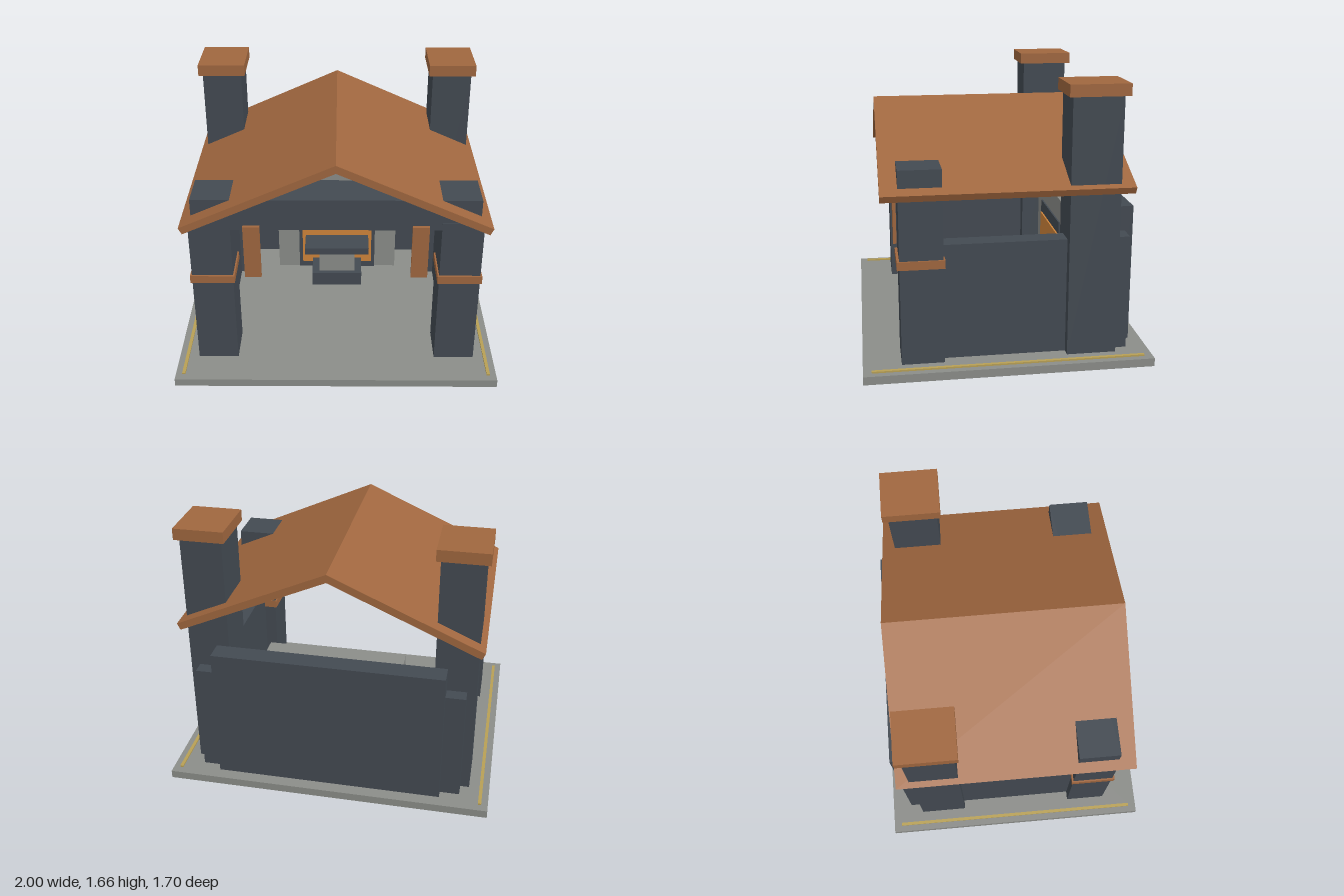
import * as THREE from 'three';

const mat = (color) => new THREE.MeshStandardMaterial({ color, flatShading: true });

export function createModel() {
  const group = new THREE.Group();
  group.name = 'forgeHouse';
  const slate = mat(0x434a52), wood = mat(0xa0673f), stone = mat(0x8b8d89);
  const fire = mat(0xd0853a), gold = mat(0xb8a055);

  // Box given by its min/max on each axis
  const box = (name, material, [x0, x1], [y0, y1], [z0, z1]) => {
    const mesh = new THREE.Mesh(new THREE.BoxGeometry(x1 - x0, y1 - y0, z1 - z0), material);
    mesh.position.set((x0 + x1) / 2, (y0 + y1) / 2, (z0 + z1) / 2);
    mesh.name = name;
    group.add(mesh);
  };
  // The same box on both sides of x = 0
  const pair = (name, material, [x0, x1], y, z) => {
    box(name + 'Left', material, [x0, x1], y, z);
    box(name + 'Right', material, [-x1, -x0], y, z);
  };

  // Floor slab and edge strips
  box('floor', stone, [-1, 1], [0, 0.05], [-0.85, 0.85]);
  pair('edgeStrip', gold, [0.94, 0.96], [0.05, 0.06], [-0.8, 0.8]);

  // Walls
  box('backWall', slate, [-0.7, 0.7], [0.05, 0.9], [-0.775, -0.65]);
  pair('sideWall', slate, [0.7, 0.82], [0.05, 0.75], [-0.725, 0.4]);

  // Front posts with bands, and the beam across them
  pair('frontPost', slate, [0.625, 0.875], [0.05, 1.05], [0.375, 0.625]);
  pair('postBand', wood, [0.615, 0.885], [0.63, 0.68], [0.365, 0.64]);
  box('frontBeam', slate, [-0.85, 0.85], [1, 1.2], [0.376, 0.624]);
  pair('hangingBoard', wood, [0.45, 0.55], [0.68, 1.03], [0.625, 0.645]);

  // Chimneys
  pair('chimney', slate, [0.625, 0.875], [0.05, 1.59], [-0.645, -0.35]);
  pair('chimneyCap', wood, [0.6, 0.9], [1.59, 1.66], [-0.675, -0.325]);

  // Gabled roof
  const gable = new THREE.Shape([
    [-0.91, 1.07], [-0.89, 1.03], [0, 1.427], [0.89, 1.03], [0.91, 1.07], [0, 1.477],
  ].map(([x, y]) => new THREE.Vector2(x, y)));
  const roof = new THREE.Mesh(
    new THREE.ExtrudeGeometry(gable, { depth: 1.45, bevelEnabled: false }), wood);
  roof.position.z = -0.725;
  roof.name = 'roof';
  group.add(roof);

  // Hearth
  box('hearthSurround', stone, [-0.425, 0.425], [0.05, 0.825], [-0.65, -0.43]);
  box('hearthOpening', slate, [-0.275, 0.275], [0.05, 0.68], [-0.6, -0.42]);
  box('hearthFire', fire, [-0.25, 0.25], [0.1, 0.6], [-0.55, -0.41]);

  // Anvil
  box('anvilBase', slate, [-0.175, 0.175], [0.05, 0.15], [-0.38, -0.18]);
  box('anvilWaist', stone, [-0.125, 0.125], [0.15, 0.3], [-0.35, -0.21]);
  box('anvilTop', slate, [-0.225, 0.225], [0.3, 0.35], [-0.37, -0.19]);

  return group;
}
